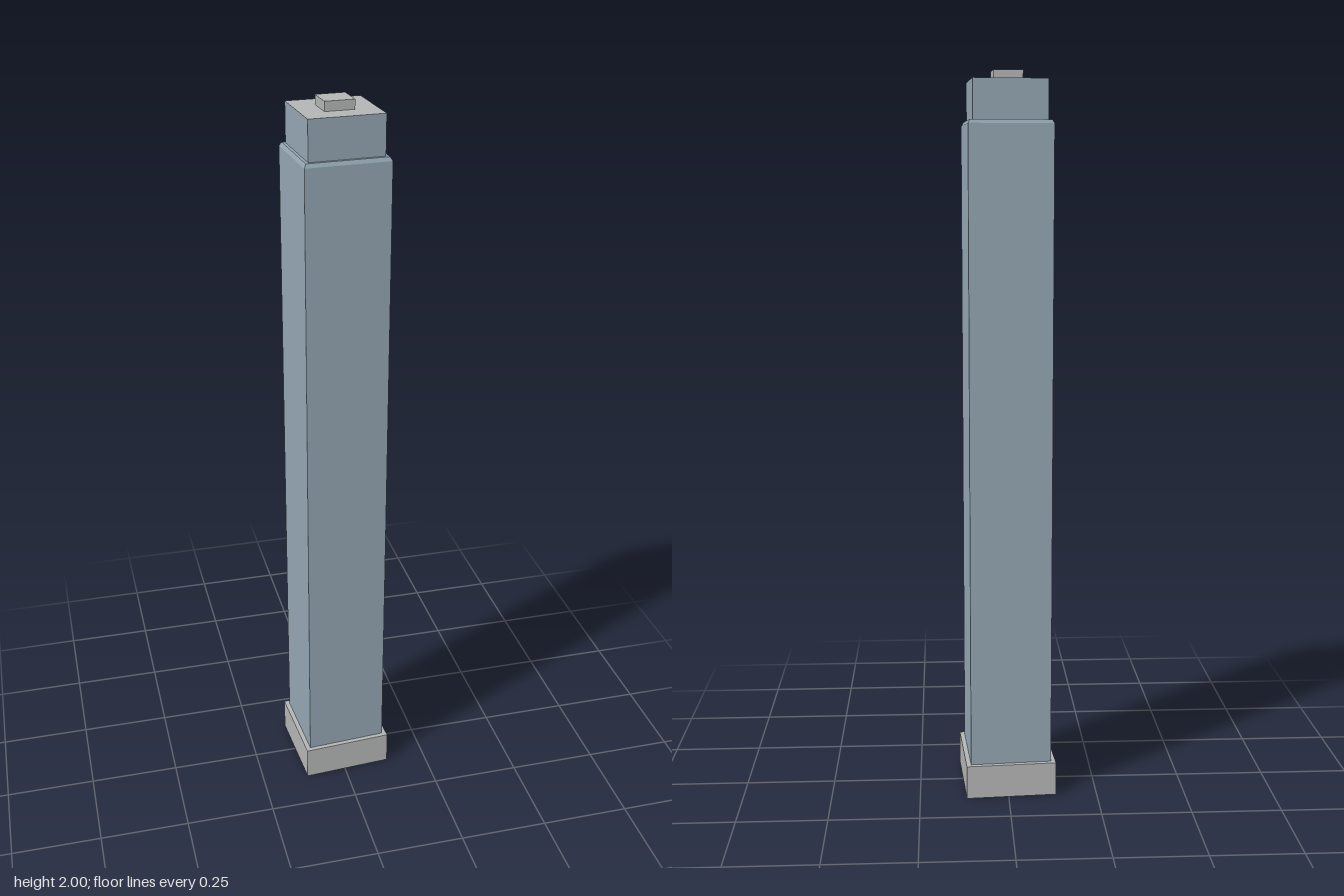
import * as THREE from 'three';

export function createModel() {
  const glass = new THREE.MeshStandardMaterial({ color: 0x93a5b1, side: THREE.DoubleSide });
  glass.name = 'blueGreyFacade';
  const stone = new THREE.MeshStandardMaterial({ color: 0xb3b5b4, side: THREE.DoubleSide });
  stone.name = 'greyStone';

  const tower = new THREE.Group();
  tower.name = 'tower';

  const add = (name, geometry, material, y) => {
    const mesh = new THREE.Mesh(geometry, material);
    mesh.name = name;
    mesh.position.y = y;
    tower.add(mesh);
  };

  // Four flat walls, open above and below, from y0 to y1
  const walls = (name, bottom, top, y0, y1, material) => {
    let g = new THREE.CylinderGeometry(top * Math.SQRT1_2, bottom * Math.SQRT1_2, y1 - y0, 4, 1, true);
    g.rotateY(Math.PI / 4);
    g = g.toNonIndexed();
    g.computeVertexNormals();
    add(name, g, material, (y0 + y1) / 2);
  };

  // Horizontal square slab face
  const deck = (name, size, y, material) =>
    add(name, new THREE.PlaneGeometry(size, size).rotateX(-Math.PI / 2), material, y);

  // Hollow plinth, open underneath
  walls('baseWalls', 0.253, 0.253, 0, 0.095, stone);
  deck('baseTop', 0.253, 0.095, stone);

  // Main shaft with a small bevel at its shoulder
  walls('shaftWalls', 0.227, 0.227, 0.095, 1.86, glass);
  walls('shoulderBevel', 0.227, 0.216, 1.86, 1.87, glass);
  deck('shoulderTop', 0.216, 1.87, glass);

  // Set-back crown with a grey roof
  walls('crownWalls', 0.2, 0.2, 1.87, 1.975, glass);
  deck('roof', 0.2, 1.975, stone);

  // Rooftop plant box
  walls('roofBoxWalls', 0.079, 0.079, 1.975, 2, stone);
  deck('roofBoxTop', 0.079, 2, stone);

  // The whole tower is turned slightly
  tower.rotation.y = 0.063;
  const model = new THREE.Group();
  model.name = 'skyscraper';
  model.add(tower);
  return model;
}
